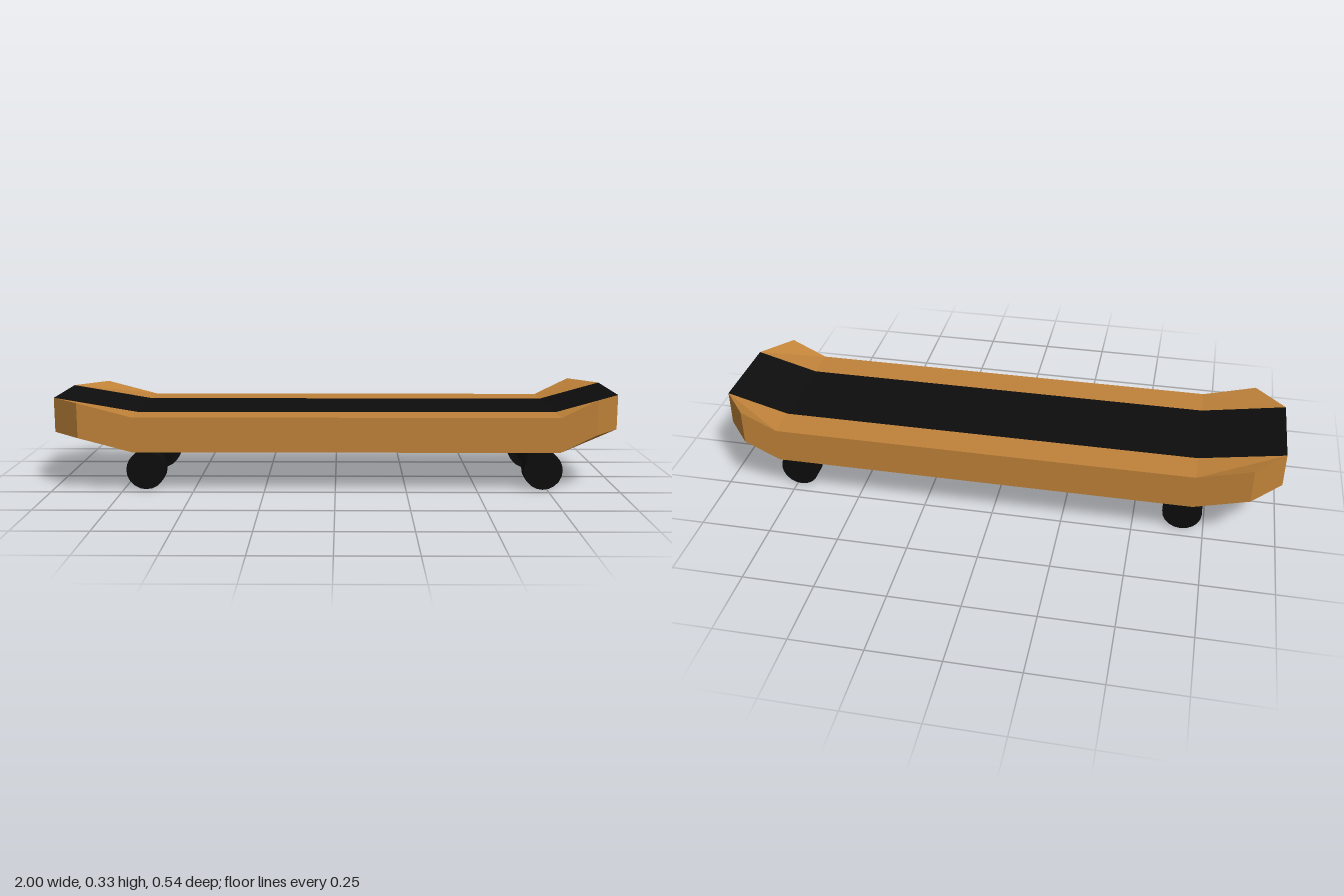
import * as THREE from 'three';

const material = (name, color) => {
  const m = new THREE.MeshStandardMaterial({ color });
  m.name = name;
  return m;
};

// Deck stations from tail to nose
const INNER_X = [-1, -0.705, 0.78, 1];
const OUTER_X = [-0.893, -0.705, 0.78, 0.905];
const TOP_Y = [0.321, 0.271, 0.271, 0.333];
const INNER_Z = 0.155, OUTER_Z = 0.272, THICKNESS = 0.123;

const inner = (i, side, drop = 0) => [INNER_X[i], TOP_Y[i] - drop, side * INNER_Z];
const outer = (i, side, drop = 0) => [OUTER_X[i], TOP_Y[i] - drop, side * OUTER_Z];

function meshFrom(name, triangles, mat) {
  const geo = new THREE.BufferGeometry();
  geo.setAttribute('position', new THREE.Float32BufferAttribute(triangles.flat(2), 3));
  geo.computeVertexNormals();
  const mesh = new THREE.Mesh(geo, mat);
  mesh.name = name;
  return mesh;
}

function createDeck(wood, black) {
  const woodTris = [], gripTris = [];
  const tri = (list, a, b, c, flip) => list.push(flip ? [a, c, b] : [a, b, c]);

  for (const drop of [0, THICKNESS]) {
    const under = drop > 0;
    for (let i = 0; i < 3; i++) {
      // Centre strip: grip on top, wood below
      const list = under ? woodTris : gripTris;
      const a = inner(i, -1, drop), b = inner(i, 1, drop);
      const c = inner(i + 1, 1, drop), d = inner(i + 1, -1, drop);
      tri(list, a, b, c, under);
      tri(list, a, c, d, under);

      // Side margins, folded up at the corners
      for (const side of [-1, 1]) {
        const flip = under !== (side < 0);
        const i0 = inner(i, side, drop), i1 = inner(i + 1, side, drop);
        const o0 = outer(i, side, drop), o1 = outer(i + 1, side, drop);
        if (i < 2) {
          tri(woodTris, i0, o0, o1, flip);
          tri(woodTris, i0, o1, i1, flip);
        } else {
          tri(woodTris, i0, o0, i1, flip);
          tri(woodTris, o0, o1, i1, flip);
        }
      }
    }
  }

  // Walls around the outline
  const rim = (drop) => [
    inner(0, 1, drop), ...[0, 1, 2, 3].map((i) => outer(i, 1, drop)), inner(3, 1, drop),
    inner(3, -1, drop), ...[3, 2, 1, 0].map((i) => outer(i, -1, drop)), inner(0, -1, drop),
  ];
  const top = rim(0), bottom = rim(THICKNESS);
  top.forEach((p, i) => {
    const j = (i + 1) % top.length;
    tri(woodTris, bottom[i], bottom[j], top[j]);
    tri(woodTris, bottom[i], top[j], p);
  });

  const deck = new THREE.Group();
  deck.name = 'deck';
  deck.add(meshFrom('board', woodTris, wood), meshFrom('gripStrip', gripTris, black));
  return deck;
}

function createTruck(name, hangerX, wheelX, black) {
  const truck = new THREE.Group();
  truck.name = name;

  const hanger = new THREE.Mesh(new THREE.BoxGeometry(0.09, 0.09, 0.31), black);
  hanger.name = 'hanger';
  hanger.position.set(hangerX, 0.105, 0);
  truck.add(hanger);

  for (const side of [-1, 1]) {
    const geo = new THREE.CylinderGeometry(0.069, 0.069, 0.058, 20).rotateX(Math.PI / 2);
    const wheel = new THREE.Mesh(geo, black);
    wheel.name = side > 0 ? 'frontWheel' : 'backWheel';
    wheel.position.set(wheelX, 0.07, side * 0.179);
    truck.add(wheel);
  }
  return truck;
}

export function createModel() {
  const wood = material('wood', 0xbf8239);
  const black = material('black', 0x0d0d0d);
  const model = new THREE.Group();
  model.name = 'skateboard';
  model.add(
    createDeck(wood, black),
    createTruck('rightTruck', -0.66, -0.672, black),
    createTruck('leftTruck', 0.735, 0.735, black),
  );
  return model;
}
